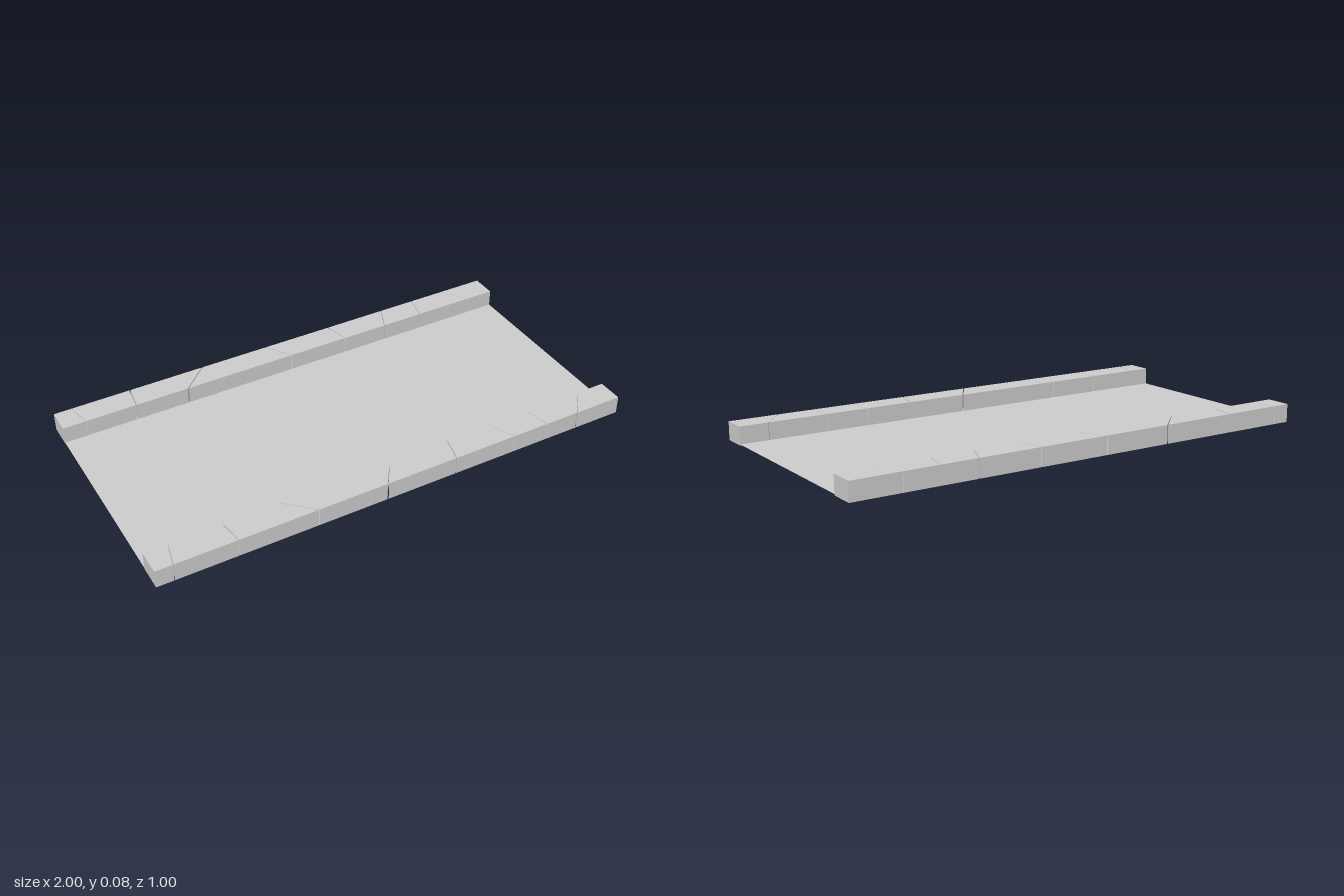
import * as THREE from 'three';

const INNER = 0.396, OUTER = 0.5, HEIGHT = 0.075;

// Kerb joints: [x on the outer edge, x on the inner edge, gap width]
const joints = [
  [-1, -1, 0],
  [-0.93, -0.905, 0.003],
  [-0.68, -0.695, 0.005],
  [-0.36, -0.47, 0.005],
  [-0.07, 0, 0.005],
  [0.23, 0.255, 0.004],
  [0.495, 0.45, 0.003],
  [0.65, 0.63, 0.003],
  [0.795, 0.88, 0.002],
  [1, 1, 0],
];

// One kerb stone between two slanted joints; side is +1 front, -1 back
function stoneGeometry(a, b, side) {
  const shape = new THREE.Shape([
    new THREE.Vector2(a[0] + a[2] / 2, -side * OUTER),
    new THREE.Vector2(b[0] - b[2] / 2, -side * OUTER),
    new THREE.Vector2(b[1] - b[2] / 2, -side * INNER),
    new THREE.Vector2(a[1] + a[2] / 2, -side * INNER),
  ]);
  return new THREE.ExtrudeGeometry(shape, { depth: HEIGHT, bevelEnabled: false }).rotateX(-Math.PI / 2);
}

export function createModel() {
  const stone = new THREE.MeshStandardMaterial({ color: 0xcccccc });
  stone.name = 'pale grey stone';
  stone.side = THREE.DoubleSide;

  const model = new THREE.Group();
  model.name = 'kerbedRoad';

  // Thin road surface, just above the kerb bottoms
  const road = new THREE.Mesh(new THREE.PlaneGeometry(2, 2 * INNER + 0.1).rotateX(-Math.PI / 2), stone);
  road.name = 'roadSurface';
  road.position.y = 0.005;
  model.add(road);

  // Mirrored rows of kerb stones
  for (const side of [1, -1]) {
    const kerb = new THREE.Group();
    kerb.name = side > 0 ? 'frontKerb' : 'backKerb';
    for (let i = 0; i < joints.length - 1; i++) {
      const mesh = new THREE.Mesh(stoneGeometry(joints[i], joints[i + 1], side), stone);
      mesh.name = `kerbStone${i + 1}`;
      kerb.add(mesh);
    }
    model.add(kerb);
  }
  return model;
}
